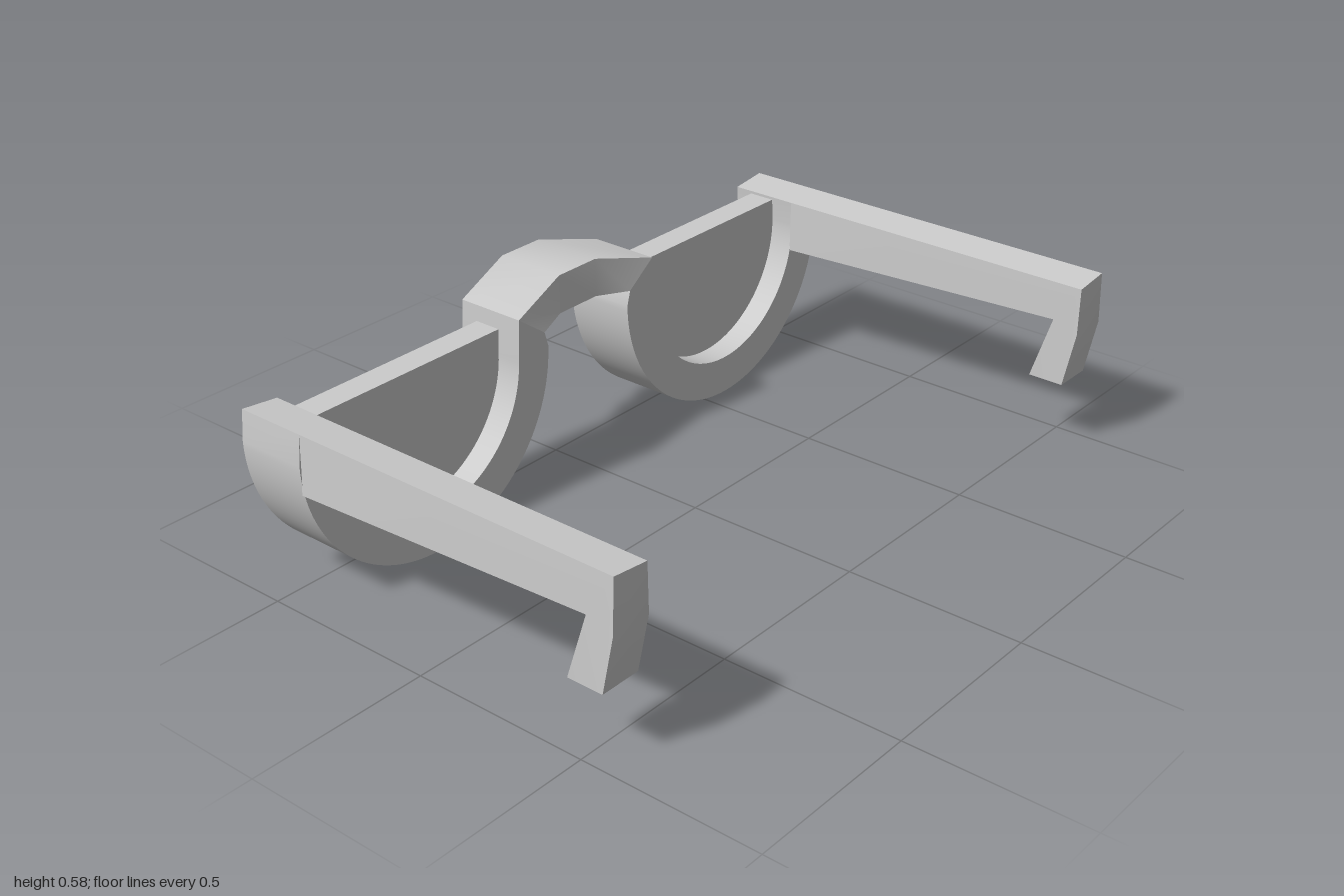
import * as THREE from 'three';
import { toCreasedNormals } from 'three/addons/utils/BufferGeometryUtils.js';

const material = new THREE.MeshStandardMaterial({ color: 0xcccccc });
const CX = 0.578, CY = 0.422, OUTER = 0.422, INNER = 0.312;
const BACK = -0.365, FRONT = -0.567;

function addMesh(group, name, geometry) {
  const mesh = new THREE.Mesh(toCreasedNormals(geometry, 0.45), material);
  mesh.name = name;
  group.add(mesh);
}

// Extrudes a shape between two z values, mirrored in x when side is -1
function extrudeZ(shape, side, z0, z1) {
  const points = shape.getPoints(40).map((p) => new THREE.Vector2(p.x * side, p.y));
  const geometry = new THREE.ExtrudeGeometry(new THREE.Shape(points), { depth: z1 - z0, bevelEnabled: false });
  return geometry.translate(0, 0, z0);
}

// U-shaped rim, rising into the bridge on one side and the temple on the other
function rimShape() {
  const s = new THREE.Shape();
  s.moveTo(0.26, 0.53);
  s.lineTo(CX - INNER, CY);
  s.absarc(CX, CY, INNER, Math.PI, Math.PI * 2, false);
  s.lineTo(0.886, 0.493);
  s.lineTo(0.992, 0.505);
  s.lineTo(CX + OUTER, CY);
  s.absarc(CX, CY, OUTER, 0, -Math.PI, true);
  s.lineTo(0.168, 0.463);
  s.closePath();
  return s;
}

// Half-moon lens, let slightly into the rim
function lensShape() {
  const s = new THREE.Shape();
  const r = INNER + 0.004;
  s.moveTo(0.262, 0.485);
  s.lineTo(CX - r, CY);
  s.absarc(CX, CY, r, Math.PI, Math.PI * 2, false);
  s.lineTo(0.888, 0.485);
  s.closePath();
  return s;
}

// Side arm with its down-turned ear hook, profile given as (z, y)
function templeGeometry(side) {
  const profile = [
    [BACK - 0.002, 0.505], [0.6, 0.505], [0.6, 0.36], [0.567, 0.2],
    [0.465, 0.2], [0.525, 0.385], [BACK - 0.002, 0.345],
  ];
  const shape = new THREE.Shape(profile.map(([z, y]) => new THREE.Vector2(-z, y)));
  const width = 0.115;
  const geometry = new THREE.ExtrudeGeometry(shape, { depth: width, bevelEnabled: false });
  geometry.rotateY(Math.PI / 2);
  geometry.translate(side > 0 ? 0.883 : -0.883 - width, 0, 0);
  // Slope the top edge down toward the inside
  const p = geometry.attributes.position;
  for (let i = 0; i < p.count; i++) {
    if (p.getY(i) < 0.5) continue;
    if (Math.abs(p.getX(i)) < 0.94) p.setXY(i, side * 0.886, 0.493);
    else p.setX(i, side * 0.992);
  }
  return geometry;
}

// Angular bridge lofted through four cross-sections
function bridgeGeometry() {
  const section = (topX, topY, bottomX, bottomY, front, back) => [
    [topX, topY, front], [topX, topY, back], [bottomX, bottomY, back], [bottomX, bottomY, front],
  ];
  const rings = [
    section(-0.26, 0.53, -0.168, 0.463, FRONT, BACK),
    section(-0.07, 0.58, -0.07, 0.472, -0.605, -0.4),
    section(0.07, 0.58, 0.07, 0.472, -0.605, -0.4),
    section(0.26, 0.53, 0.168, 0.463, FRONT, BACK),
  ];
  const vertices = [];
  for (let i = 0; i < 3; i++) {
    for (let k = 0; k < 4; k++) {
      const n = (k + 1) % 4;
      const [a, b, c, d] = [rings[i][k], rings[i][n], rings[i + 1][n], rings[i + 1][k]];
      vertices.push(...a, ...b, ...c, ...a, ...c, ...d);
    }
  }
  const geometry = new THREE.BufferGeometry();
  geometry.setAttribute('position', new THREE.Float32BufferAttribute(vertices, 3));
  geometry.computeVertexNormals();
  return geometry;
}

export function createModel() {
  const model = new THREE.Group();
  model.name = 'halfMoonGlasses';
  for (const [side, label] of [[1, 'left'], [-1, 'right']]) {
    addMesh(model, label + 'Rim', extrudeZ(rimShape(), side, FRONT, BACK));
    addMesh(model, label + 'Lens', extrudeZ(lensShape(), side, -0.515, -0.437));
    addMesh(model, label + 'Temple', templeGeometry(side));
  }
  addMesh(model, 'bridge', bridgeGeometry());
  return model;
}
